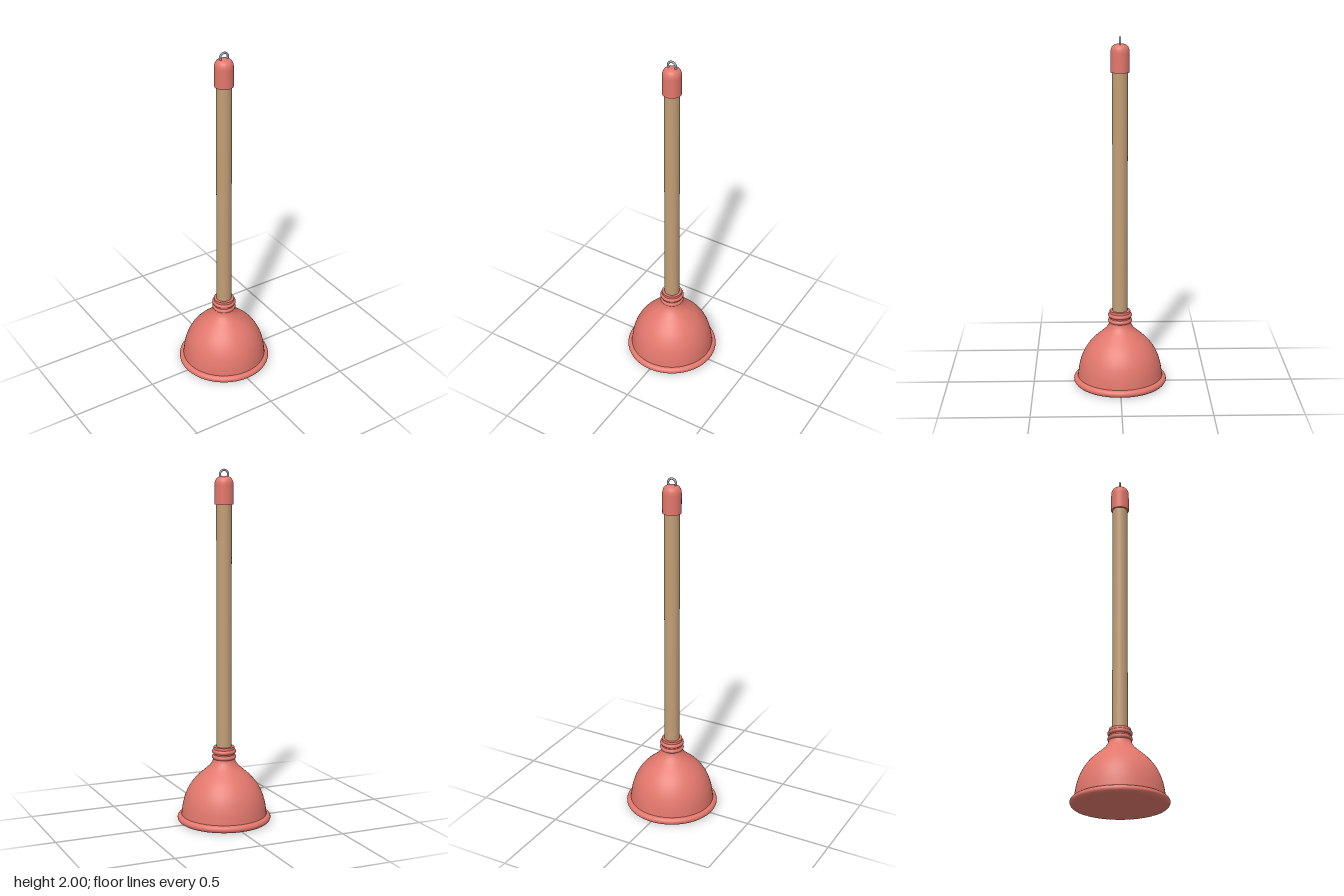
import * as THREE from 'three';

const SEG = 64;

function material(name, color) {
  const m = new THREE.MeshStandardMaterial({ color });
  m.name = name;
  return m;
}

// Smooth surface of revolution through a few [radius, height] points
function lathe(points, samples) {
  const curve = new THREE.CatmullRomCurve3(points.map(([r, y]) => new THREE.Vector3(r, y, 0)), false, 'centripetal');
  const profile = curve.getPoints(samples).map((p) => new THREE.Vector2(Math.max(p.x, 0), p.y));
  return new THREE.LatheGeometry(profile, SEG);
}

export function createModel() {
  const model = new THREE.Group();
  model.name = 'plunger';
  const rubber = material('red rubber', 0xe2776c);
  const wood = material('wood', 0xc29e75);
  const steel = material('steel', 0x9ba6ae);

  function add(parent, name, geometry, mat, y = 0) {
    const mesh = new THREE.Mesh(geometry, mat);
    mesh.name = name;
    mesh.position.y = y;
    parent.add(mesh);
    return mesh;
  }

  // Rubber cup: bell, rounded rim, underside and ribbed neck
  const cup = new THREE.Group();
  cup.name = 'cup';
  model.add(cup);
  add(cup, 'bell', lathe([
    [0.245, 0.03], [0.242, 0.06], [0.234, 0.11], [0.217, 0.165], [0.19, 0.215],
    [0.155, 0.258], [0.112, 0.297], [0.082, 0.325], [0.066, 0.35], [0.06, 0.375],
  ], 40), rubber);
  add(cup, 'rim', lathe([
    [0.245, 0], [0.256, 0.003], [0.264, 0.011], [0.267, 0.02],
    [0.264, 0.031], [0.256, 0.038], [0.242, 0.042],
  ], 18), rubber);
  const underside = add(cup, 'underside', new THREE.CircleGeometry(0.246, SEG), rubber, 0.0005);
  underside.rotation.x = Math.PI / 2;

  add(cup, 'neck', new THREE.CylinderGeometry(0.059, 0.06, 0.075, SEG), rubber, 0.3975);
  for (const y of [0.376, 0.408]) {
    const rib = add(cup, 'neckRib', new THREE.TorusGeometry(0.056, 0.013, 12, SEG), rubber, y);
    rib.rotation.x = Math.PI / 2;
  }

  // Wooden handle
  add(model, 'handle', new THREE.CylinderGeometry(0.043, 0.043, 1.46, SEG), wood, 1.13);

  // Rubber grip cap with a rounded top
  const cap = new THREE.Group();
  cap.name = 'gripCap';
  model.add(cap);
  add(cap, 'capSleeve', new THREE.CylinderGeometry(0.052, 0.052, 0.11, SEG), rubber, 1.86);
  add(cap, 'capDome', lathe([
    [0.052, 1.915], [0.05, 1.931], [0.043, 1.946], [0.032, 1.955], [0.016, 1.96], [0, 1.961],
  ], 20), rubber);

  // Hanging ring
  add(model, 'hangingRing', new THREE.TorusGeometry(0.024, 0.006, 12, 40), steel, 1.97);

  return model;
}
